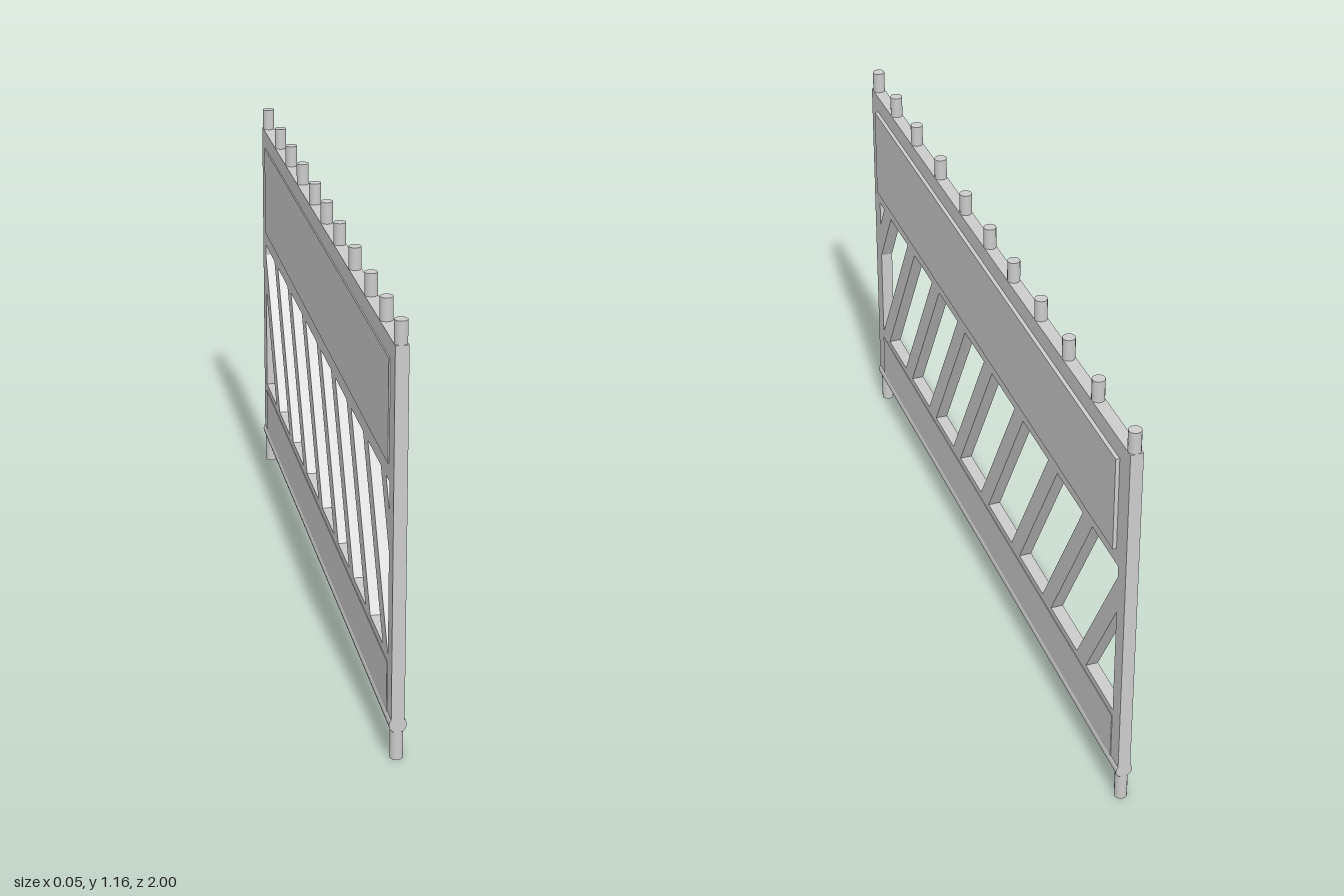
import * as THREE from 'three';

const CX = -0.0045;   // middle plane of the barrier
const HALF = 0.017;   // half thickness of the frame
const LOW = 0.27, HIGH = 0.735, SIDE = 0.952, LEAN = 0.268, SLAT = 0.032;

// Keep the part of a polygon where sign * u <= SIDE
function clip(points, sign) {
  const out = [];
  points.forEach((a, i) => {
    const b = points[(i + 1) % points.length];
    const da = SIDE - sign * a.x, db = SIDE - sign * b.x;
    if (da >= 0) out.push(a);
    if (da * db < 0) out.push(a.clone().lerp(b, da / (da - db)));
  });
  return out;
}

export function createModel() {
  const group = new THREE.Group();
  const material = new THREE.MeshStandardMaterial({ color: 0xcccccc });

  const add = (name, geometry, x = 0, y = 0, z = 0) => {
    const mesh = new THREE.Mesh(geometry, material);
    mesh.name = name;
    mesh.position.set(x, y, z);
    group.add(mesh);
    return mesh;
  };
  const plate = (name, x0, x1, y0, y1, z0, z1) =>
    add(name, new THREE.BoxGeometry(x1 - x0, y1 - y0, z1 - z0),
      (x0 + x1) / 2, (y0 + y1) / 2, (z0 + z1) / 2);

  // Frame with slanted openings that leave the slats standing
  const frame = new THREE.Shape([[-1, 0.09], [1, 0.09], [1, 1.1], [-1, 1.1]]
    .map(([u, y]) => new THREE.Vector2(u, y)));
  const slats = [-1.145, -0.92, -0.697, -0.472, -0.252, -0.01, 0.241, 0.483, 0.735];
  for (let i = 0; i <= slats.length; i++) {
    const left = i === 0 ? -2 : slats[i - 1] + SLAT;
    const right = i === slats.length ? 2 : slats[i] - SLAT;
    const opening = [[left, LOW], [right, LOW], [right + LEAN, HIGH], [left + LEAN, HIGH]]
      .map(([u, y]) => new THREE.Vector2(u, y));
    const hole = clip(clip(opening, 1), -1);
    if (hole.length > 2) frame.holes.push(new THREE.Path(hole));
  }
  const frameGeometry = new THREE.ExtrudeGeometry(frame, { depth: HALF * 2, bevelEnabled: false });
  frameGeometry.rotateY(Math.PI / 2);
  add('slattedFrame', frameGeometry, CX - HALF);

  // Raised sign board on both faces, and shallow lower board
  plate('signBoard', -0.025, 0.023, 0.78, 1.05, -0.938, 0.944);
  plate('lowerBoard', CX - HALF - 0.002, 0.0145, 0.09, 0.25, -0.95, 0.95);

  // Round rail along the bottom edge
  add('bottomRail', new THREE.CylinderGeometry(0.0225, 0.0225, 2, 20).rotateX(Math.PI / 2), CX, 0.099);

  // Pegs along the top edge
  const pegs = [0.983, 0.815, 0.628, 0.418, 0.207, 0.014, -0.168, -0.367, -0.56, -0.755, -0.983];
  for (const z of pegs) {
    add('topPeg', new THREE.CylinderGeometry(HALF, HALF, 0.08, 16), CX, 1.12, z);
  }

  // Feet under both ends
  for (const z of [-0.983, 0.983]) {
    add('foot', new THREE.CylinderGeometry(HALF, HALF, 0.1, 16), CX, 0.05, z);
  }
  return group;
}
